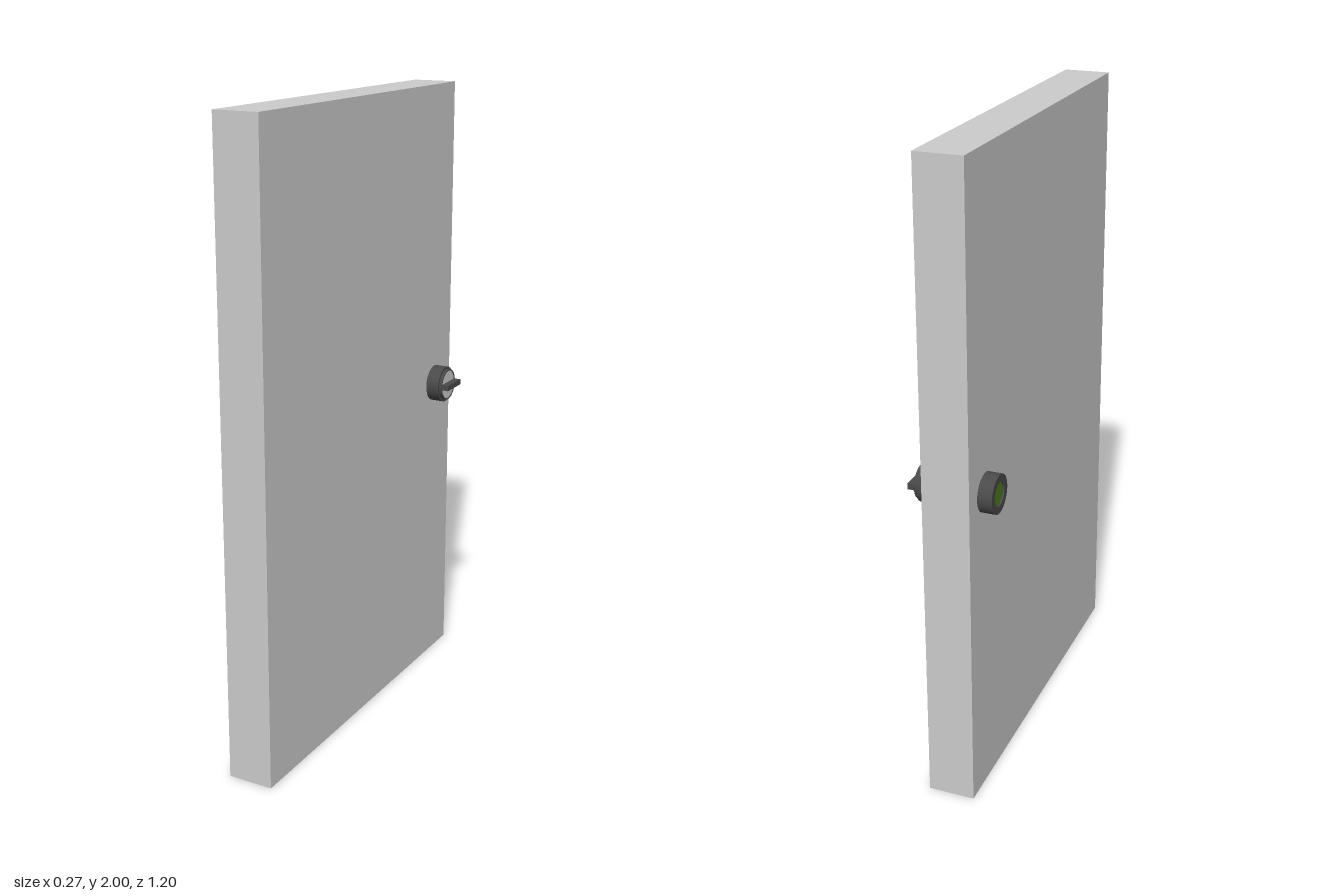
import * as THREE from 'three';

const LOCK_Y = 1.0, LOCK_Z = -0.482;

export function createModel() {
  const root = new THREE.Group();
  root.name = 'door';
  const grey = new THREE.MeshStandardMaterial({ color: 0xcccccc });
  const dark = new THREE.MeshStandardMaterial({ color: 0x4a4a4a, flatShading: true });
  const green = new THREE.MeshStandardMaterial({ color: 0x4f7a1c });

  const add = (parent, name, geometry, material) => {
    const mesh = new THREE.Mesh(geometry, material);
    mesh.name = name;
    parent.add(mesh);
    return mesh;
  };

  // Door leaf
  add(root, 'doorLeaf', new THREE.BoxGeometry(0.146, 2, 1.2), grey).position.set(-0.017, 1, 0);

  // Group whose local +y points out of the door, along dir * x
  const lockSide = (name, x, dir) => {
    const g = new THREE.Group();
    g.name = name;
    g.position.set(x, LOCK_Y, LOCK_Z);
    g.rotation.z = -dir * Math.PI / 2;
    root.add(g);
    return g;
  };
  const lathe = (pairs) => new THREE.LatheGeometry(pairs.map(([r, y]) => new THREE.Vector2(r, y)), 40);
  const disc = (r) => new THREE.CircleGeometry(r, 40).rotateX(-Math.PI / 2);

  // Inner side: stepped collar, face plate and thumb turn
  const inner = lockSide('innerLock', 0.056, 1);
  add(inner, 'innerCollar', lathe([[0.06, 0], [0.06, 0.044], [0.052, 0.044], [0.052, 0.054], [0.048, 0.054], [0.048, 0.05]]), dark);
  add(inner, 'facePlate', disc(0.0485), grey).position.y = 0.052;
  add(inner, 'thumbTurn', new THREE.BoxGeometry(0.018, 0.026, 0.098), dark).position.y = 0.063;
  inner.children[2].rotation.y = 0;

  // Outer side: collar with a sunken green indicator
  const outer = lockSide('outerLock', -0.09, -1);
  add(outer, 'outerCollar', lathe([[0.06, 0], [0.06, 0.045], [0.037, 0.045], [0.037, 0.038]]), dark);
  add(outer, 'indicator', disc(0.037), green).position.y = 0.04;

  return root;
}
